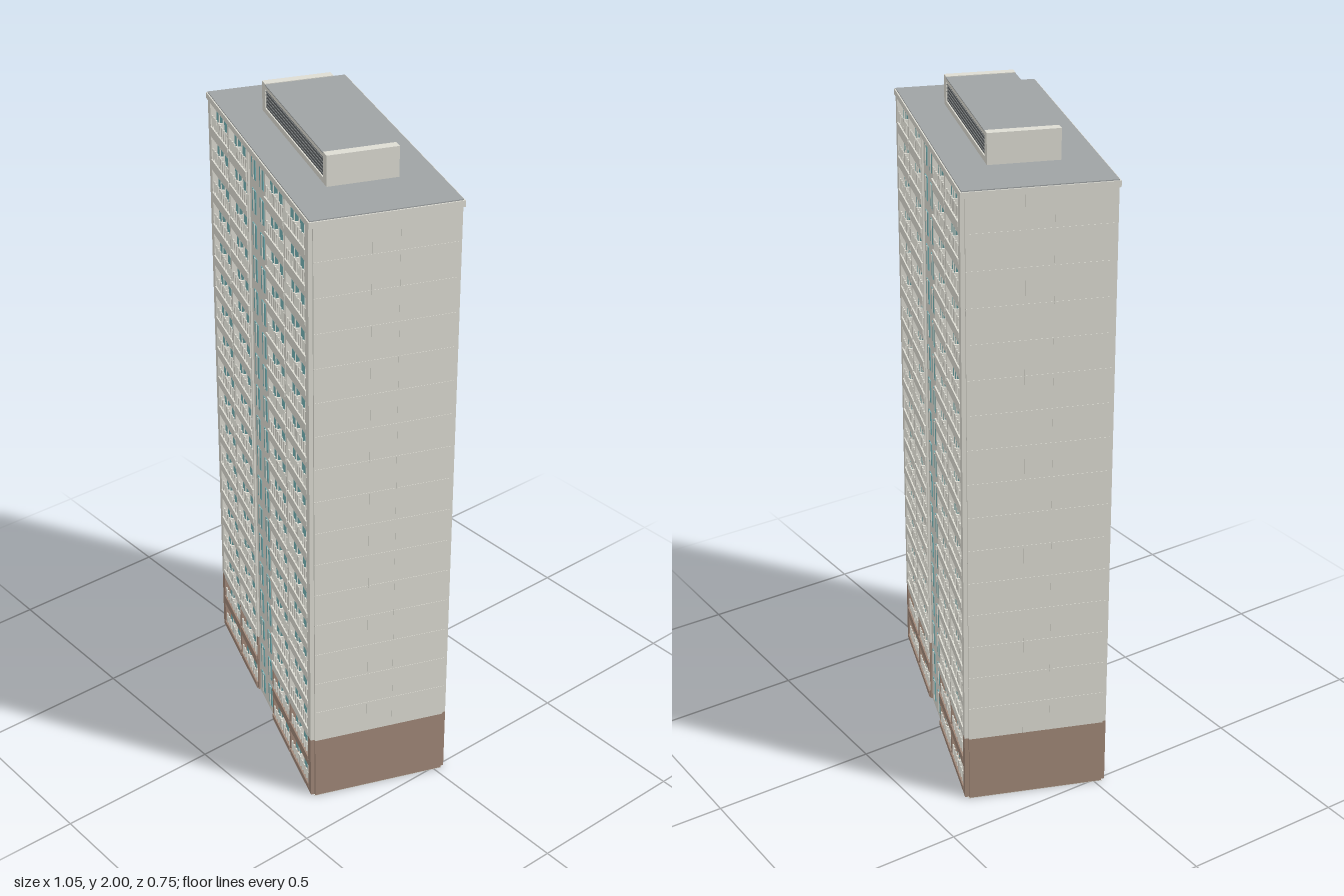
import * as THREE from 'three';
import { mergeGeometries } from 'three/addons/utils/BufferGeometryUtils.js';

const mat = (name, color) => {
  const m = new THREE.MeshStandardMaterial({ color });
  m.name = name;
  return m;
};

export function createModel() {
  const concrete = mat('pale concrete', 0xdddcd3);
  const brick = mat('brown base', 0xa18878);
  const glass = mat('teal glass', 0x74b3b7);
  const roofGrey = mat('roof grey', 0x9fa3a4);
  const dark = mat('louvre dark', 0x565a5c);
  const slat = mat('louvre slat grey', 0x7d8182);

  const tower = new THREE.Group();
  tower.name = 'tower';
  tower.rotation.y = THREE.MathUtils.degToRad(-21);

  // Boxes are gathered by part name and merged into one mesh each
  const parts = new Map();
  const box = (name, material, x0, x1, y0, y1, z0, z1) => {
    const g = new THREE.BoxGeometry(x1 - x0, y1 - y0, z1 - z0);
    g.translate((x0 + x1) / 2, (y0 + y1) / 2, (z0 + z1) / 2);
    if (!parts.has(name)) parts.set(name, { material, list: [] });
    parts.get(name).list.push(g);
  };

  const FLOORS = 18, H = 1.895, STEP = H / FLOORS, BASE = 2 * STEP;
  const HW = 0.474, CORE = 0.194;

  // Underside slab
  box('groundSlab', concrete, -HW, HW, 0, 0.002, -0.206, 0.206);

  // Core, end walls and corner piers, brown for the two lowest storeys
  for (const [name, m, y0, y1] of [['lower', brick, 0.002, BASE], ['upper', concrete, BASE, H]]) {
    box(name + 'Core', m, -0.445, 0.445, y0, y1, -CORE, CORE);
    for (const s of [-1, 1]) {
      const x = s * (HW - 0.008), c = s * 0.455;
      box(name + 'EndWalls', m, x - 0.008, x + 0.008, y0, y1, -0.203, 0.203);
      box(name + 'CornerPiers', m, c - 0.012, c + 0.012, y0, y1, -0.215, 0.215);
    }
  }

  // Fine raised joints on the end walls
  for (const s of [-1, 1]) {
    const x = s * HW;
    for (let i = 3; i < FLOORS; i++)
      box('endWallJoints', concrete, x - 0.001, x + 0.001, i * STEP - 0.001, i * STEP + 0.001, -0.203, 0.203);
    for (const z of [-0.04, 0.04])
      box('endWallJoints', concrete, x - 0.001, x + 0.001, BASE, H, z - 0.001, z + 0.001);
  }

  // Both long facades: z measured outward, mirrored by side
  const bays = [[-0.443, -0.267], [-0.257, -0.085], [0.085, 0.257], [0.267, 0.443]];
  for (const s of [-1, 1]) {
    const out = (name, m, x0, x1, y0, y1, z0, z1) =>
      box(name, m, x0, x1, y0, y1, s > 0 ? z0 : -z1, s > 0 ? z1 : -z0);

    // Central stair strip
    out('stairStrip', concrete, -0.079, 0.079, 0, H, 0.185, 0.206);

    // Piers between and beside the bays
    for (const [name, m, y0, y1] of [['lowerPiers', brick, 0.002, BASE], ['upperPiers', concrete, BASE, H]]) {
      for (const x of [-0.262, 0.262]) out(name, m, x - 0.005, x + 0.005, y0, y1, 0.185, 0.214);
      for (const x of [-0.082, 0.082]) out(name, m, x - 0.004, x + 0.004, y0, y1, 0.185, 0.212);
    }

    for (let i = 0; i < FLOORS; i++) {
      const f = i * STEP, low = i < 2;
      const m = low ? brick : concrete, p = low ? 'lower' : 'upper';
      const y0 = f + 0.026, y1 = f + 0.0975;

      for (const [x0, x1] of bays) {
        const w = x1 - x0, mid = x0 + w * 0.45;
        // Balcony band with a projecting lip
        out(p + 'BalconyBands', m, x0, x1, Math.max(0.002, f - 0.008), y0, 0.185, 0.215);
        out(p + 'BandLips', m, x0, x1, f + 0.012, y0, 0.215, 0.217);
        // Recessed glazing and its pale mullions
        out('windowGlass', glass, x0, x1, y0, y1, CORE, 0.197);
        for (const t of [0.2, 0.7, 0.85]) {
          const x = x0 + w * t;
          out('windowMullions', concrete, x - 0.0015, x + 0.0015, y0, y1, 0.197, 0.2);
        }
        // Mid-bay partition below a full-height mullion
        out('balconyPartitions', concrete, mid - 0.003, mid + 0.003, y0, f + 0.063, 0.197, 0.213);
        out('windowMullions', concrete, mid - 0.003, mid + 0.003, y0, y1, 0.197, 0.2);
        // Balustrade posts
        for (let k = 0; k < 9; k++) {
          const x = x0 + w * (k + 0.5) / 9;
          out('balustradePosts', concrete, x - 0.004, x + 0.004, y0, f + 0.061, 0.209, 0.213);
        }
      }

      // Paired narrow stair windows, each split by a pale mullion
      for (const x of [-0.037, 0.037]) {
        out('stairWindows', glass, x - 0.018, x + 0.018, y0, y1, 0.206, 0.208);
        out('stairWindowMullions', concrete, x - 0.004, x + 0.004, y0, y1, 0.208, 0.21);
      }
    }
  }

  // Roof cap with a pale rim
  box('roofRim', concrete, -0.479, 0.479, 1.89, 1.908, -0.217, 0.217);
  box('roofDeck', roofGrey, -0.475, 0.475, 1.905, 1.911, -0.213, 0.213);

  // Plant room: end walls, body, louvres, fascia and roof
  const PW = 0.286, PD = 0.103, IN = PW - 0.028;
  box('plantRoomEnds', concrete, -PW, -IN, 1.905, 2, -PD, PD);
  box('plantRoomEnds', concrete, IN, PW, 1.905, 2, -PD, PD);
  box('plantRoomBody', concrete, -IN, IN, 1.905, 1.985, -0.094, 0.094);
  box('plantRoomFascia', concrete, -IN, IN, 1.985, 1.995, -PD, PD);
  box('plantRoomSill', concrete, -IN, IN, 1.905, 1.927, -PD, PD);
  box('plantRoomRoof', roofGrey, -IN, IN, 1.995, 1.998, -PD, PD);
  for (const s of [-1, 1]) {
    box('louvrePanel', dark, -IN, IN, 1.927, 1.985, s * 0.0965 - 0.0025, s * 0.0965 + 0.0025);
    for (let k = 0; k < 5; k++) {
      const y = 1.933 + k * 0.0105;
      box('louvreSlats', slat, -IN, IN, y, y + 0.003, s * 0.1 - 0.001, s * 0.1 + 0.001);
    }
  }

  for (const [name, { material, list }] of parts) {
    const mesh = new THREE.Mesh(mergeGeometries(list), material);
    mesh.name = name;
    tower.add(mesh);
  }

  const model = new THREE.Group();
  model.name = 'apartmentTower';
  model.add(tower);
  return model;
}
